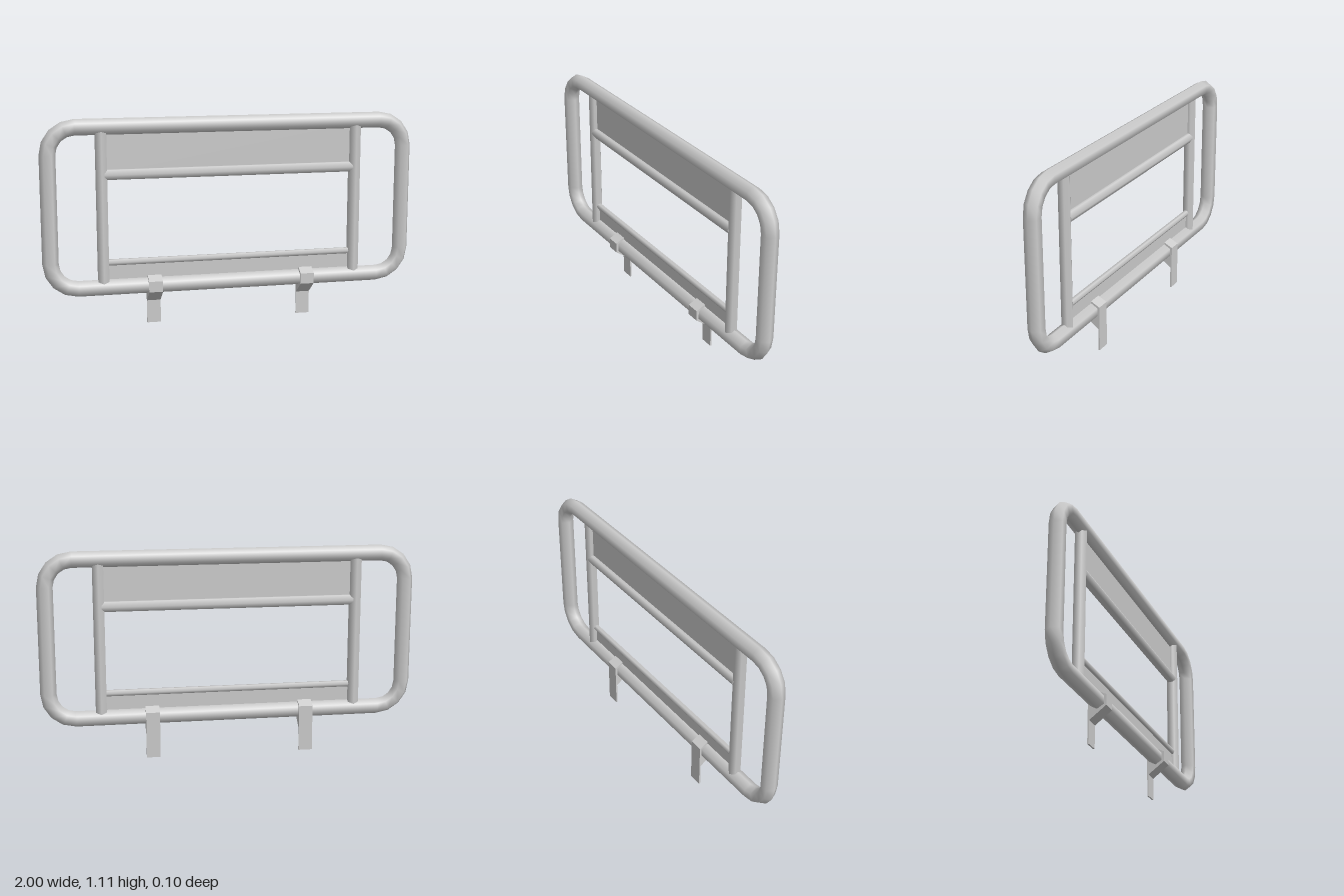
import * as THREE from 'three';

const mat = new THREE.MeshStandardMaterial({ color: 0xcccccc });
const sheetMat = new THREE.MeshStandardMaterial({ color: 0xcccccc, side: THREE.DoubleSide });

const MID_Y = 0.643;   // height of the frame's centre
const TUBE = 0.0425;   // frame tube radius
const SIDES = 6;

// Closed rounded-rectangle loop of six-sided tube
function frameGeometry(halfW, halfH, bend, steps) {
  const pos = [], nor = [], idx = [];
  for (let q = 0; q < 4; q++) {
    const cx = (q === 0 || q === 3 ? 1 : -1) * (halfW - bend);
    const cy = (q < 2 ? 1 : -1) * (halfH - bend);
    for (let s = 0; s <= steps; s++) {
      const t = (q + s / steps) * Math.PI / 2;
      const dx = Math.cos(t), dy = Math.sin(t);
      for (let i = 0; i < SIDES; i++) {
        const a = i / SIDES * Math.PI * 2;
        const r = bend + TUBE * Math.cos(a);
        pos.push(cx + dx * r, cy + dy * r, TUBE * Math.sin(a));
        nor.push(dx * Math.cos(a), dy * Math.cos(a), Math.sin(a));
      }
    }
  }
  const rings = 4 * (steps + 1);
  for (let j = 0; j < rings; j++) {
    for (let i = 0; i < SIDES; i++) {
      const k = (i + 1) % SIDES, n = (j + 1) % rings;
      const a = j * SIDES + i, b = n * SIDES + i, c = n * SIDES + k, d = j * SIDES + k;
      idx.push(a, b, c, a, c, d);
    }
  }
  const g = new THREE.BufferGeometry();
  g.setAttribute('position', new THREE.Float32BufferAttribute(pos, 3));
  g.setAttribute('normal', new THREE.Float32BufferAttribute(nor, 3));
  g.setIndex(idx);
  return g;
}

export function createModel() {
  const group = new THREE.Group();
  const add = (name, geo, x, y, z = 0, material = mat) => {
    const m = new THREE.Mesh(geo, material);
    m.name = name;
    m.position.set(x, y, z);
    group.add(m);
    return m;
  };

  // Outer bent-tube frame
  add('outerFrame', frameGeometry(1 - TUBE, 0.4245, 0.14, 4), 0, MID_Y);

  // Upright posts
  for (const s of [1, -1]) {
    add(s > 0 ? 'leftPost' : 'rightPost', new THREE.CylinderGeometry(0.033, 0.033, 0.83, SIDES), s * 0.684, MID_Y);
  }

  // Cross rails between the posts
  const rail = (name, r, y) => {
    add(name, new THREE.CylinderGeometry(r, r, 1.34, SIDES), 0, y).rotation.z = Math.PI / 2;
  };
  rail('upperRail', 0.03, 0.818);
  rail('lowerRail', 0.0175, 0.352);

  // Thin infill panels
  const panel = (name, y0, y1) =>
    add(name, new THREE.PlaneGeometry(1.33, y1 - y0), 0, (y0 + y1) / 2, 0, sheetMat);
  panel('upperPanel', 0.818, 1.05);
  panel('lowerPanel', 0.24, 0.352);

  // Mounting clips: peaked saddle over the bottom tube with a flat tongue below
  const profile = [
    [0.05, 0.19], [0.05, 0.247], [0, 0.272], [-0.048, 0.247],
    [-0.048, 0], [-0.04, 0], [-0.04, 0.123],
  ];
  const shape = new THREE.Shape(profile.map(([z, y]) => new THREE.Vector2(-z, y)));
  const clipGeo = new THREE.ExtrudeGeometry(shape, { depth: 0.074, bevelEnabled: false });
  clipGeo.translate(0, 0, -0.037);
  clipGeo.rotateY(Math.PI / 2);
  for (const s of [1, -1]) add(s > 0 ? 'leftClip' : 'rightClip', clipGeo, s * 0.414, 0);

  return group;
}
